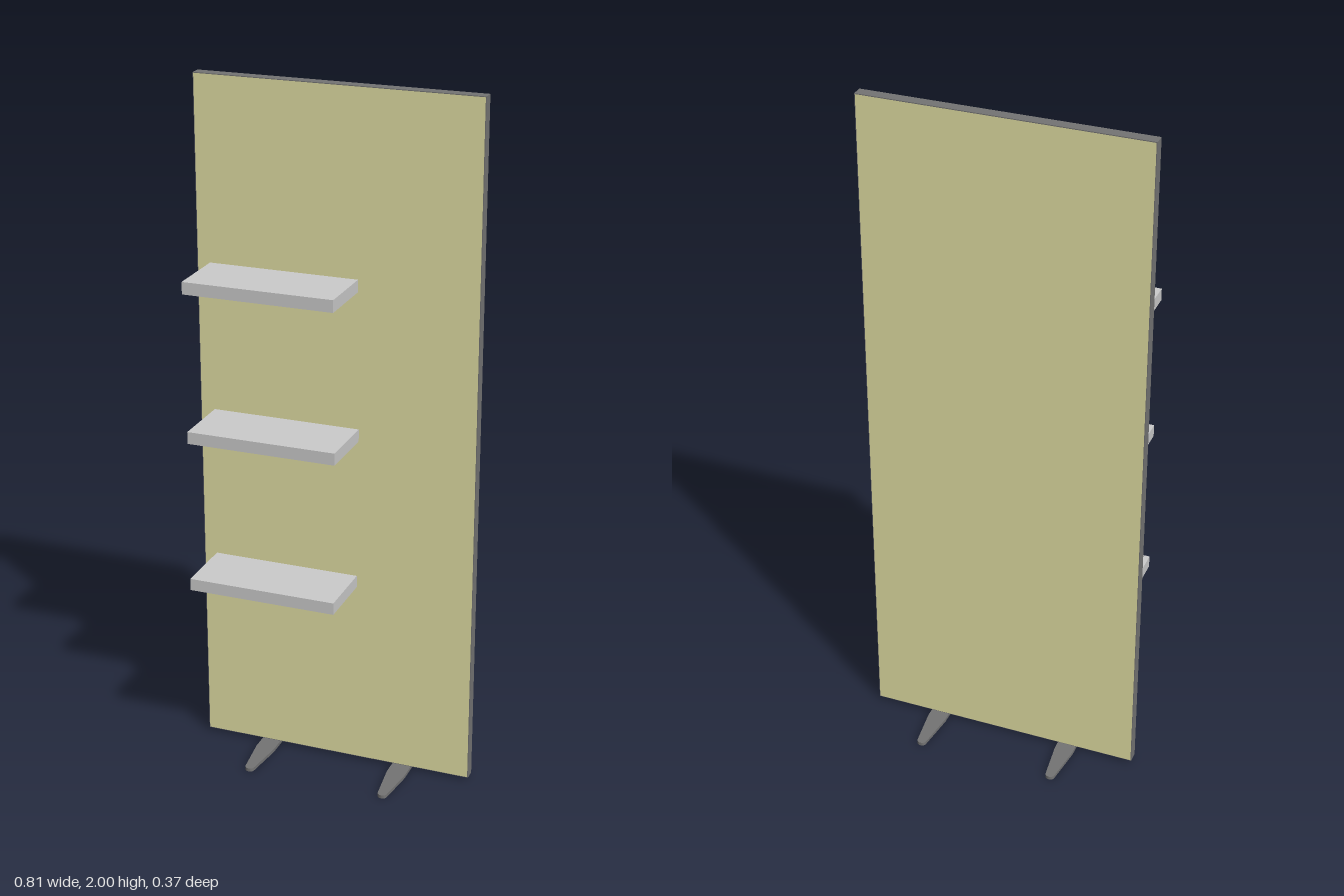
import * as THREE from 'three';

const fabric = new THREE.MeshStandardMaterial({ color: 0xe2dfa4 });
const dark = new THREE.MeshStandardMaterial({ color: 0x747474 });
const grey = new THREE.MeshStandardMaterial({ color: 0xcccccc });

const W = 0.815, FOOT_H = 0.01, H = 2 - FOOT_H, FRONT = 0, BACK = -0.032;

function add(parent, name, geometry, material, x, y, z) {
  const mesh = new THREE.Mesh(geometry, material);
  mesh.name = name;
  mesh.position.set(x, y, z);
  parent.add(mesh);
  return mesh;
}

// Flat foot outline: straight middle, tapered arms, rounded tips
function footGeometry() {
  const w = 0.028, tip = 0.0135, mid = 0.055, end = 0.173, len = 0.186;
  const s = new THREE.Shape();
  s.moveTo(w, -mid);
  s.lineTo(w, mid);
  s.lineTo(tip, end);
  s.bezierCurveTo(tip * 0.8, len, -tip * 0.8, len, -tip, end);
  s.lineTo(-w, mid);
  s.lineTo(-w, -mid);
  s.lineTo(-tip, -end);
  s.bezierCurveTo(-tip * 0.8, -len, tip * 0.8, -len, tip, -end);
  s.closePath();
  const g = new THREE.ExtrudeGeometry(s, { depth: FOOT_H, bevelEnabled: false, curveSegments: 8 });
  return g.rotateX(-Math.PI / 2);
}

export function createModel() {
  const model = new THREE.Group();
  model.name = 'displayPanel';
  const midY = FOOT_H + H / 2;

  // Panel core with dark edges
  add(model, 'panelFrame', new THREE.BoxGeometry(W, H, FRONT - BACK), dark, 0, midY, (FRONT + BACK) / 2);

  // Coloured covering on both faces
  const cover = new THREE.PlaneGeometry(W - 0.004, H - 0.004);
  add(model, 'frontCover', cover, fabric, 0, midY, FRONT + 0.001);
  add(model, 'backCover', cover, fabric, 0, midY, BACK - 0.001).rotation.y = Math.PI;

  // Three shelves, the middle one set slightly to the left
  const shelf = new THREE.BoxGeometry(0.433, 0.035, 0.187);
  [[-0.153, 0.58], [-0.149, 1.028], [-0.153, 1.459]].forEach(([x, y], i) =>
    add(model, 'shelf' + (i + 1), shelf, grey, x, y, 0.0935));

  // Feet
  const foot = footGeometry();
  add(model, 'leftFoot', foot, dark, 0.205, 0, -0.004);
  add(model, 'rightFoot', foot, dark, -0.205, 0, -0.004);

  return model;
}
